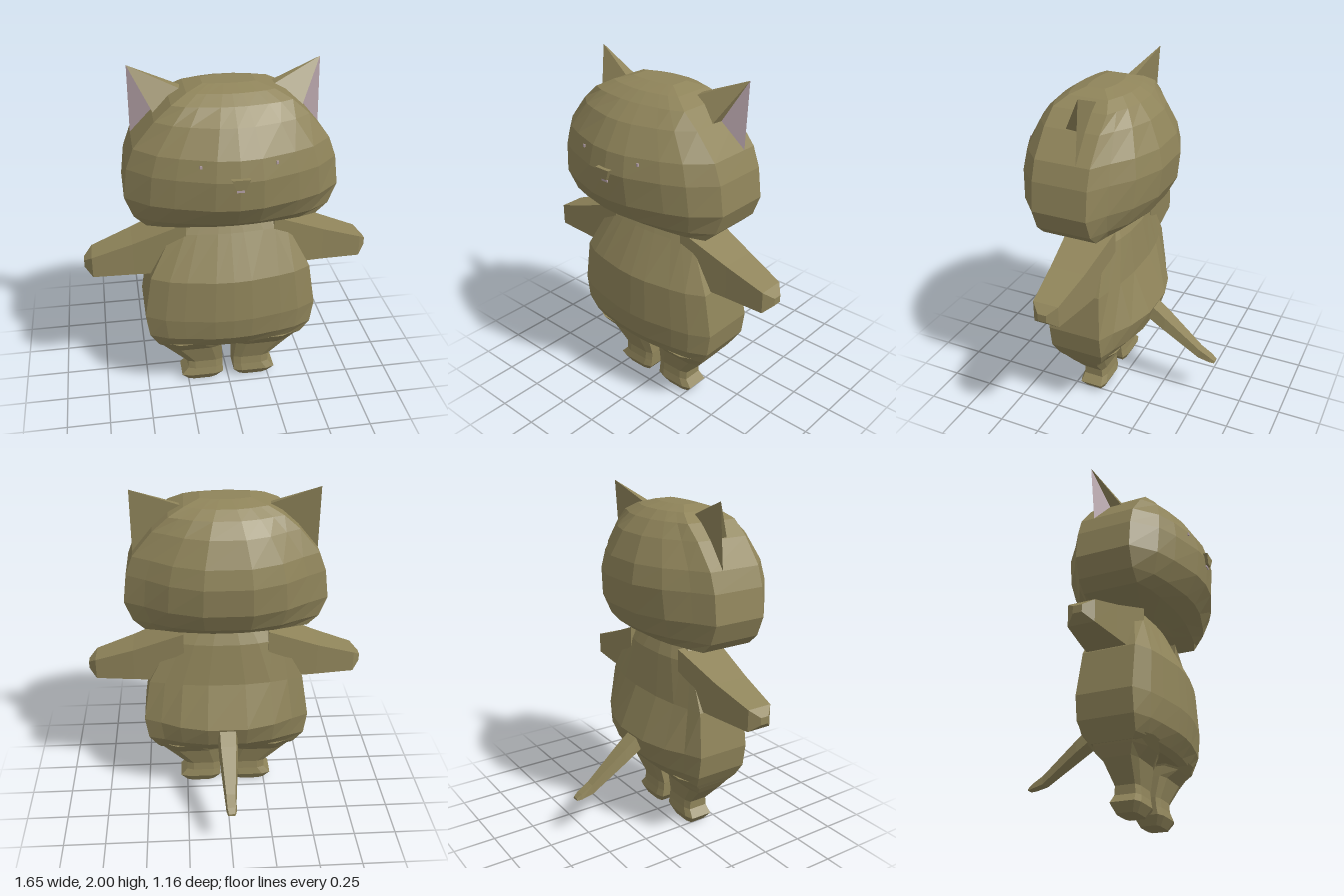
import * as THREE from 'three';

const fur = new THREE.MeshStandardMaterial({ color: 0x8f845a, flatShading: true });
fur.name = 'fur';
const pink = new THREE.MeshStandardMaterial({ color: 0xb3a0a6, flatShading: true });
pink.name = 'innerEar';

// Flat-faced geometry from triangles, turned outward when it is a closed solid
function solid(tris, closed = true) {
  const v = tris.map((t) => t.map((p) => new THREE.Vector3(...p)));
  const volume = v.reduce((s, [a, b, c]) => s + a.dot(b.clone().cross(c)), 0);
  if (closed && volume < 0) v.forEach((t) => t.reverse());
  const geo = new THREE.BufferGeometry().setFromPoints(v.flat());
  geo.computeVertexNormals();
  return geo;
}

// Skin over a row of cross-sections, capped at both ends
function loft(rings) {
  const tris = [];
  const n = rings[0].length;
  for (let i = 0; i < rings.length - 1; i++) {
    for (let j = 0; j < n; j++) {
      const k = (j + 1) % n;
      const [a, b, c, d] = [rings[i][j], rings[i][k], rings[i + 1][k], rings[i + 1][j]];
      tris.push([a, b, c], [a, c, d]);
    }
  }
  const first = rings[0], last = rings[rings.length - 1];
  for (let j = 1; j < n - 1; j++) {
    tris.push([first[0], first[j + 1], first[j]], [last[0], last[j], last[j + 1]]);
  }
  return solid(tris);
}

// Rounded cross-section with a flat strip on each side
const FRONT = [[0, 1], [0.22, 0.95], [0.57, 0.69], [0.78, 0.47], [1, 0]];
const BACK = [[1, 0], [0.8, 0.3], [0.57, 0.7], [0.24, 1]];
function roundRing([y, w, front, back], mid, strip) {
  const place = (end) => ([x, g]) => {
    const range = end - mid;
    const h = Math.sign(range) * Math.min(strip, Math.abs(range) * 0.7);
    return [x * w, y, mid + h + (range - h) * g];
  };
  const half = [...FRONT.map(place(front)), ...BACK.map(place(back))];
  const mirrored = half.slice(1).reverse().map(([x, yy, z]) => [-x, yy, z]);
  return [...half, ...mirrored];
}

// Rectangular sections: upright along x or z, level along y
const ringX = ([x, y0, y1, z0, z1]) => [[x, y0, z0], [x, y1, z0], [x, y1, z1], [x, y0, z1]];
const ringZ = ([z, y0, y1, w]) => [[-w, y0, z], [w, y0, z], [w * 0.8, y1, z], [-w * 0.8, y1, z]];
// Level section with clipped corners
function ringY([y, x0, x1, z0, z1, cut = 0.2]) {
  const cx = (x1 - x0) * cut, cz = (z1 - z0) * cut * 0.5;
  return [[x0 + cx, y, z0], [x1 - cx, y, z0], [x1, y, z0 + cz], [x1, y, z1 - cz],
    [x1 - cx, y, z1], [x0 + cx, y, z1], [x0, y, z1 - cz], [x0, y, z0 + cz]];
}

export function createModel() {
  const model = new THREE.Group();
  const add = (name, geo, mat = fur, parent = model) => {
    const mesh = new THREE.Mesh(geo, mat);
    mesh.name = name;
    parent.add(mesh);
    return mesh;
  };

  // Head: height, half width, front z, back z
  add('head', loft([
    [1.125, 0.12, 0.24, 0.02], [1.15, 0.29, 0.29, -0.03], [1.19, 0.47, 0.38, -0.1],
    [1.25, 0.535, 0.47, -0.18], [1.365, 0.58, 0.545, -0.24], [1.53, 0.56, 0.56, -0.258],
    [1.64, 0.52, 0.535, -0.235], [1.78, 0.405, 0.45, -0.17], [1.86, 0.315, 0.36, -0.1],
    [1.905, 0.23, 0.29, -0.04], [1.932, 0.14, 0.2, 0.05],
  ].map((r) => roundRing(r, 0.14, 0.16))));

  // Body
  add('body', loft([
    [0.33, 0.41, 0.295, -0.04], [0.36, 0.43, 0.33, -0.07], [0.44, 0.48, 0.385, -0.145],
    [0.575, 0.5, 0.405, -0.19], [0.83, 0.46, 0.392, -0.085], [1.08, 0.33, 0.27, -0.05],
    [1.15, 0.27, 0.24, -0.02],
  ].map((r) => roundRing(r, 0.12, 0.16))));

  // Limbs, built for the left and mirrored to the right
  for (const s of [1, -1]) {
    const side = s > 0 ? 'left' : 'right';
    const flip = (ring) => ring.map(([x, y, z]) => [x * s, y, z]);

    add(side + 'Arm', loft([
      [0.25, 0.84, 1.15, -0.03, 0.25], [0.55, 0.833, 1.03, 0.01, 0.22],
      [0.78, 0.825, 0.95, 0.05, 0.2], [0.825, 0.868, 0.91, 0.1, 0.15],
    ].map((r) => flip(ringX(r)))));

    add(side + 'Leg', loft([
      [0.37, 0.03, 0.43, -0.06, 0.32, 0.3], [0.32, 0.05, 0.4, -0.02, 0.28, 0.3],
      [0.265, 0.045, 0.36, 0.03, 0.23], [0.145, 0.035, 0.25, 0.06, 0.2],
      [0.095, 0.035, 0.25, 0.055, 0.205],
    ].map((r) => flip(ringY(r)))));
    add(side + 'Foot', loft([
      [0.095, 0.035, 0.25, 0.055, 0.205], [0.05, 0.035, 0.29, 0.045, 0.215],
      [0, 0.075, 0.25, 0.07, 0.185],
    ].map((r) => flip(ringY(r)))));

    // Ear: a folded cone with an open pink hollow facing outward
    const ear = new THREE.Group();
    ear.name = side + 'Ear';
    model.add(ear);
    const [tip, inner, innerFront, front, hollow, outer] = flip([
      [0.52, 2, 0.035], [0.235, 1.89, 0.075], [0.24, 1.885, 0.13],
      [0.395, 1.775, 0.18], [0.4, 1.775, 0.11], [0.52, 1.64, 0.06],
    ]);
    const wind = (t) => (s > 0 ? t : [t[0], t[2], t[1]]);
    add('earShell', solid([
      [tip, innerFront, front], [tip, inner, innerFront], [tip, front, hollow], [tip, outer, inner],
    ].map(wind), false), fur, ear);
    add('earHollow', solid([wind([tip, hollow, outer])], false), pink, ear);

    // Tiny eye glint
    const eye = add(side + 'Eye', new THREE.BoxGeometry(0.012, 0.016, 0.008), pink);
    eye.position.set(0.195 * s, 1.61, 0.512);
  }

  // Tail: z, lower y, upper y, half width
  add('tail', loft([
    [-0.1, 0.53, 0.63, 0.062], [-0.26, 0.425, 0.505, 0.057], [-0.48, 0.272, 0.325, 0.034],
    [-0.55, 0.255, 0.285, 0.03], [-0.58, 0.25, 0.262, 0.022],
  ].map(ringZ)));

  // Nose wedge and mouth
  const noseRing = (z, k) => [[-0.05 * k, 1.553, z], [0.05 * k, 1.553, z],
    [0.025 * k, 1.495, z - 0.005], [-0.025 * k, 1.495, z - 0.005]];
  add('nose', loft([noseRing(0.53, 1), noseRing(0.576, 0.95)]));
  const mouth = add('mouth', new THREE.BoxGeometry(0.04, 0.012, 0.008), pink);
  mouth.position.set(0, 1.483, 0.556);

  return model;
}
